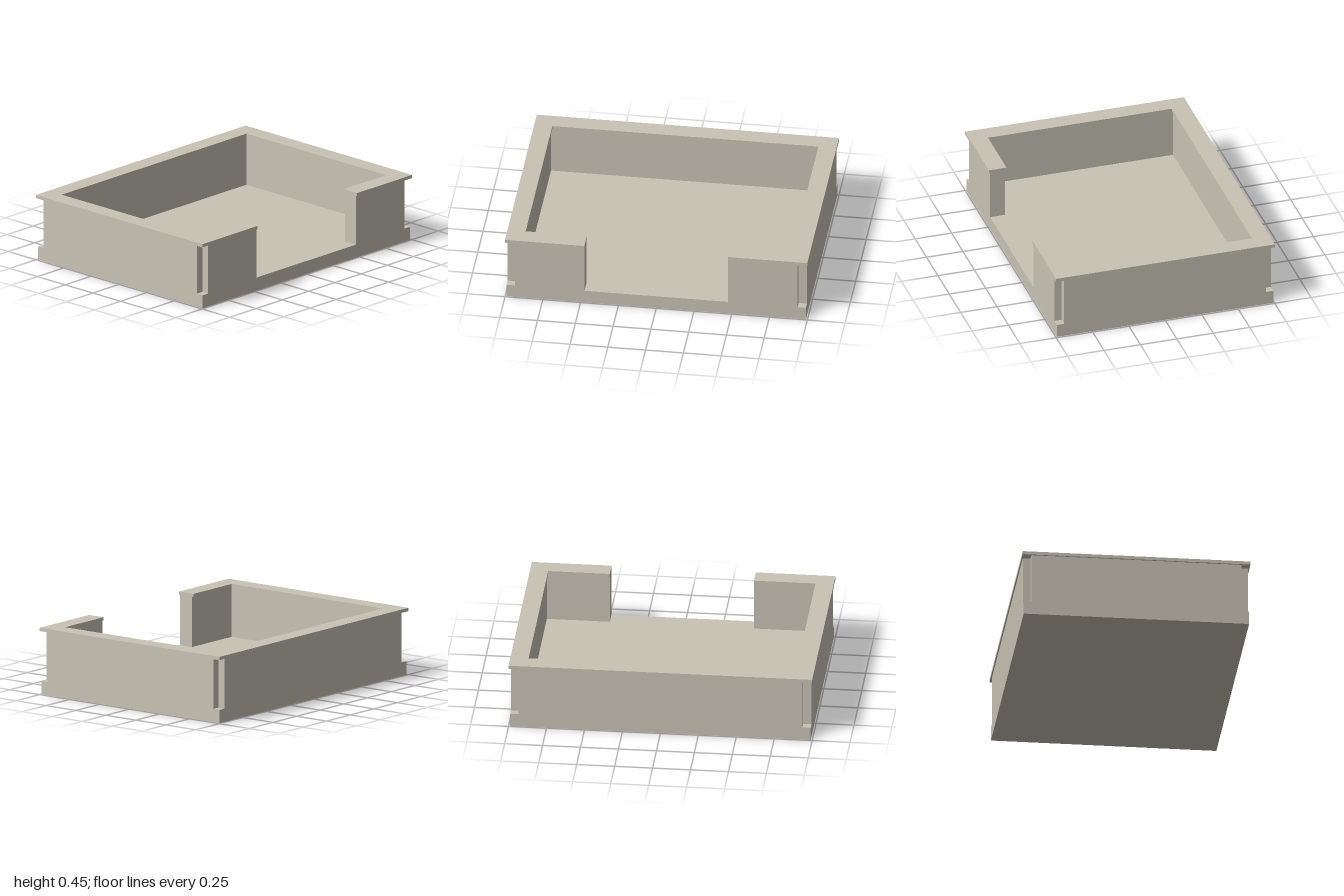
import * as THREE from 'three';

export function createModel() {
  const group = new THREE.Group();
  const stone = new THREE.MeshStandardMaterial({ color: 0xc9c3b5 });
  stone.name = 'warm stone';

  const FLOOR = 0.09, WALL_TOP = 0.425, TOP = 0.447;
  const OPENING = 0.475; // half width of the front gap

  // Mirrors half an outline of [x, z] points and extrudes it from y0 to y1
  function slab(name, half, y0, y1) {
    const mirrored = half.map(([x, z]) => [-x, z]).reverse();
    const points = [...half, ...mirrored].map(([x, z]) => new THREE.Vector2(x, -z));
    const geometry = new THREE.ExtrudeGeometry(new THREE.Shape(points), {
      depth: y1 - y0, bevelEnabled: false,
    });
    geometry.rotateX(-Math.PI / 2);
    geometry.translate(0, y0, 0);
    const mesh = new THREE.Mesh(geometry, stone);
    mesh.name = name;
    group.add(mesh);
  }

  // Floor slab
  const base = new THREE.Mesh(new THREE.BoxGeometry(1.98, FLOOR, 1.486), stone);
  base.name = 'base';
  base.position.y = FLOOR / 2;
  group.add(base);

  // U-shaped wall with a square notch cut into each outer corner
  const X = 0.99, Z = 0.743, NX = 0.935, NZ = 0.692, IX = 0.89, IZ = 0.641;
  slab('walls', [
    [0, -IZ], [IX, -IZ], [IX, IZ], [OPENING, IZ],
    [OPENING, Z], [NX, Z], [NX, NZ], [X, NZ],
    [X, -NZ], [NX, -NZ], [NX, -Z], [0, -Z],
  ].slice(0, 12), FLOOR, WALL_TOP);

  // Thin coping that overhangs the wall on both sides
  slab('coping', [
    [0, -0.631], [0.88, -0.631], [0.88, 0.631], [OPENING, 0.631],
    [OPENING, 0.751], [1, 0.751], [1, -0.751], [0, -0.751],
  ], WALL_TOP, TOP);

  return group;
}
